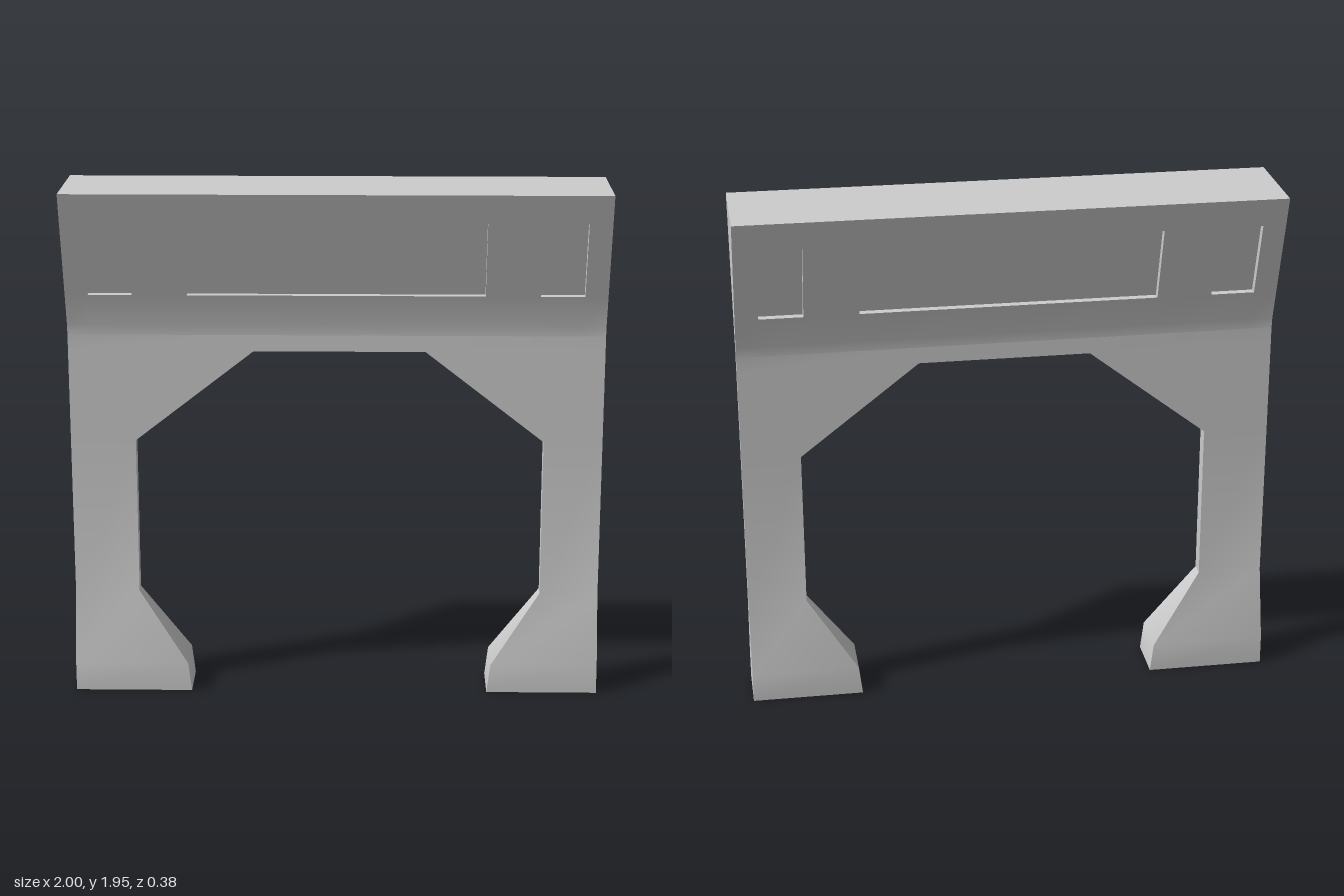
import * as THREE from 'three';
import { toCreasedNormals } from 'three/addons/utils/BufferGeometryUtils.js';

// Half thickness of the gate at each height: flared feet, thin legs, wedge-shaped beam
const TOP = 1.953;
const PROFILE = [[0, 0.095], [0.11, 0.095], [0.382, 0.028], [1.395, 0.028], [1.435, 0.032], [TOP, 0.19]];
const RECESS = 0.03;

function depth(y) {
  for (let i = 1; i < PROFILE.length; i++) {
    const [y0, d0] = PROFILE[i - 1], [y1, d1] = PROFILE[i];
    if (y <= y1) return d0 + (d1 - d0) * (y - y0) / (y1 - y0);
  }
  return 0.19;
}

// Collects quads (corners counter-clockwise from outside) into one geometry
class Surface {
  constructor() { this.points = []; }
  quad(a, b, c, d) { this.points.push(...a, ...b, ...c, ...a, ...c, ...d); }
  // The same quad on the front and, mirrored, on the back
  both(...q) {
    this.quad(...q);
    this.quad(...q.map(([x, y, z]) => [x, y, -z]).reverse());
  }
  // Soft bends up the gate, crisp corners elsewhere
  mesh(name, material) {
    const g = new THREE.BufferGeometry();
    g.setAttribute('position', new THREE.Float32BufferAttribute(this.points, 3));
    const m = new THREE.Mesh(toCreasedNormals(g, 0.6), material);
    m.name = name;
    return m;
  }
}

export function createModel() {
  const group = new THREE.Group();
  group.name = 'gate';
  const material = new THREE.MeshStandardMaterial({ color: 0xcccccc });
  const body = new Surface();
  const at = (x, y, s = 1) => [x, y, s * depth(y)];

  // Strip of the front and back faces; x limits may differ at bottom and top
  const face = (y0, y1, l0, r0, l1 = l0, r1 = r0) =>
    body.both(at(l0, y0), at(r0, y0), at(r1, y1), at(l1, y1));
  // Edge wall between front and back; side is the direction it faces in x
  const wall = (y0, y1, x0, x1, side) => {
    const q = [at(x0, y0), at(x0, y0, -1), at(x1, y1, -1), at(x1, y1)];
    body.quad(...(side > 0 ? q : q.reverse()));
  };
  // Horizontal surface facing up or down
  const level = (y, x0, x1, up) => {
    const q = [at(x0, y), at(x1, y), at(x1, y, -1), at(x0, y, -1)];
    body.quad(...(up ? q : q.reverse()));
  };

  // Feet, legs and sloping arch haunches: opening half width by height
  const opening = [[0, 0.567], [0.11, 0.58], [0.382, 0.767], [0.985, 0.767], [1.333, 0.32]];
  const shift = 0.012;
  for (let i = 1; i < opening.length; i++) {
    const [y0, w0] = opening[i - 1], [y1, w1] = opening[i];
    face(y0, y1, -1, shift - w0, -1, shift - w1);
    face(y0, y1, shift + w0, 1, shift + w1, 1);
    wall(y0, y1, shift - w0, shift - w1, 1);
    wall(y0, y1, shift + w0, shift + w1, -1);
    for (const s of [-1, 1]) wall(y0, y1, s, s, s);
  }
  const [[, footHalf], , , , [archTop, archHalf]] = opening;
  level(0, -1, shift - footHalf, false);
  level(0, shift + footHalf, 1, false);
  level(archTop, shift - archHalf, shift + archHalf, false);

  // Lower edge of the beam
  const rows = [1.395, 1.435, 1.555, 1.843, TOP];
  const lower = [-1, shift - archHalf, shift + archHalf, 1];
  for (let i = 0; i < 3; i++) face(archTop, rows[0], lower[i], lower[i + 1]);

  // Flared beam, left open where the panels are sunk
  const columns = [-1, -0.915, -0.753, -0.55, 0.55, 0.753, 0.915, 1];
  const isPanel = (r, c) => r === 2 && c % 2 === 1;
  for (let r = 0; r < 4; r++) {
    for (let c = 0; c < 7; c++) {
      if (!isPanel(r, c)) face(rows[r], rows[r + 1], columns[c], columns[c + 1]);
    }
  }
  const ends = [archTop, ...rows];
  for (let i = 1; i < ends.length; i++) {
    for (const s of [-1, 1]) wall(ends[i - 1], ends[i], s, s, s);
  }
  level(TOP, -1, 1, true);
  group.add(body.mesh('gateBody', material));

  // Sunken panels: sloping floor and four shallow walls, on both faces
  const sunk = (x, y) => [x, y, depth(y) - RECESS];
  ['rightPanels', 'centrePanels', 'leftPanels'].forEach((name, i) => {
    const l = columns[2 * i + 1], r = columns[2 * i + 2], b = rows[2], t = rows[3];
    const corners = [[l, b], [r, b], [r, t], [l, t]];
    const panel = new Surface();
    panel.both(...corners.map(([x, y]) => sunk(x, y)));
    corners.forEach((p, k) => {
      const q = corners[(k + 1) % 4];
      panel.both(at(...p), at(...q), sunk(...q), sunk(...p));
    });
    group.add(panel.mesh(name, material));
  });

  return group;
}
